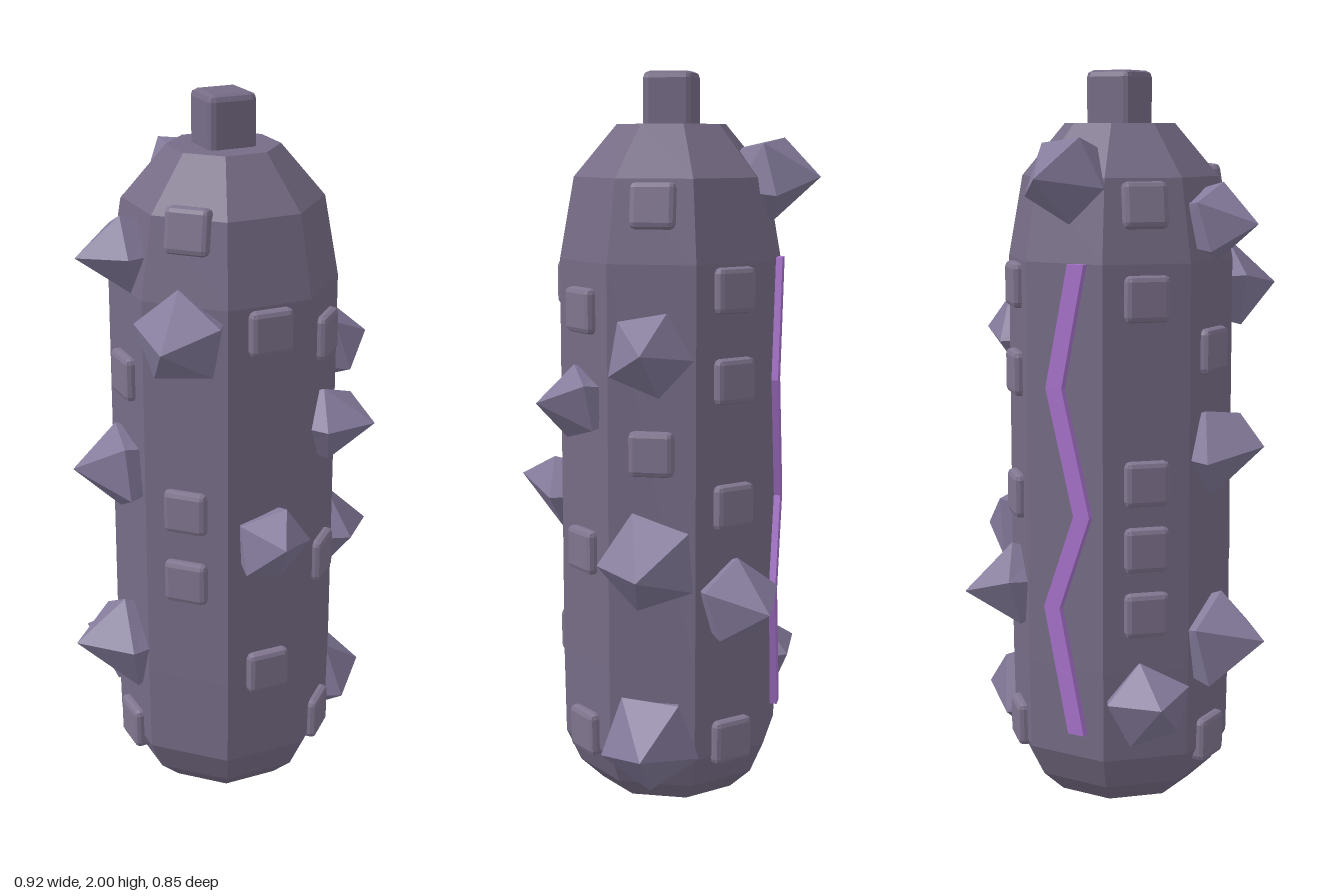
import * as THREE from 'three';
import { RoundedBoxGeometry } from 'three/addons/geometries/RoundedBoxGeometry.js';

const mat = (color) => new THREE.MeshStandardMaterial({ color, flatShading: true });
const stone = mat(0x766c86);
const plateMat = mat(0x80758f);
const spikeMat = mat(0x857b9c);
const glow = mat(0xa873cc);

// Body profile: distance of the flats from the axis, height
const PROFILE = [[0.185, 0], [0.245, 0.06], [0.283, 0.15], [0.287, 0.4], [0.287, 1.5], [0.25, 1.72], [0.14, 1.86]];

function flatAt(y) {
  for (let i = 1; i < PROFILE.length; i++) {
    const [r0, y0] = PROFILE[i - 1], [r1, y1] = PROFILE[i];
    if (y <= y1) {
      const t = (y - y0) / (y1 - y0);
      return { r: r0 + (r1 - r0) * t, tilt: Math.atan2(r1 - r0, y1 - y0) };
    }
  }
  return { r: 0.14, tilt: 0 };
}

// Five-sided stud: leaning tip, wide ring, narrower root inside the body
function spikeGeometry(r, leanX, leanY, phase) {
  const h = 0.62 * r + 0.085;
  const ring = [[0.75 * r, -0.06], [r, 0.035], [0, h]];
  const geo = new THREE.LatheGeometry(ring.map((p) => new THREE.Vector2(...p)), 5, phase);
  geo.rotateX(Math.PI / 2);
  const pos = geo.attributes.position;
  for (let i = 0; i < pos.count; i++) {
    const z = pos.getZ(i);
    if (z > h - 0.001) pos.setXY(i, leanX, leanY);
    else if (z > 0) {
      const a = Math.atan2(pos.getY(i), pos.getX(i));
      pos.setZ(i, z + 0.022 * Math.sin(2 * a + phase));
    }
  }
  return geo;
}

export function createModel() {
  const model = new THREE.Group();
  const add = (name, geo, material, parent = model) => {
    const mesh = new THREE.Mesh(geo, material);
    mesh.name = name;
    parent.add(mesh);
    return mesh;
  };

  const pillar = new THREE.Group();
  pillar.name = 'pillar';
  pillar.position.set(-0.003, 0, -0.01);
  model.add(pillar);

  // Eight-sided body with closed ends
  const k = 1 / Math.cos(Math.PI / 8);
  const points = [[0, 0], ...PROFILE, [0, 1.86]].map(([r, y]) => new THREE.Vector2(r * k, y));
  add('body', new THREE.LatheGeometry(points, 8, Math.PI / 8), stone, pillar);

  // Square knob on top
  add('topKnob', new RoundedBoxGeometry(0.138, 0.16, 0.138, 1, 0.018), stone, pillar).position.y = 1.92;

  // Puts a part on one of the eight flats, facing outwards
  const mount = (mesh, face, y, follow) => {
    const { r, tilt } = flatAt(y);
    const a = face * Math.PI / 4;
    mesh.position.set(Math.sin(a) * r, y, Math.cos(a) * r);
    mesh.rotation.set(follow ? tilt : 0, a, 0, 'YXZ');
  };

  // Small plates: heights on each flat, from the front round by +x
  const plates = [[1.43, 0.43], [1.37, 0.71, 0.19], [1.65, 1.0], [1.43, 1.19, 0.85, 0.19],
    [], [1.65, 1.41, 0.92, 0.74, 0.56], [1.26, 0.17], [1.69, 0.92, 0.71]];
  const plateGeo = new RoundedBoxGeometry(0.122, 0.122, 0.05, 1, 0.015);
  plates.forEach((heights, face) => heights.forEach((y) => {
    mount(add('plate', plateGeo, plateMat, pillar), face, y, true);
  }));

  // Spikes: flat, height, radius, lean of the tip sideways and up, turn
  const spikes = [
    [0, 0.83, 0.11, -0.02, 0.04, 0.3],
    [1, 1.12, 0.105, 0.0, 0.01, 0.9],
    [2, 1.27, 0.12, 0.0, 0.01, 0.2],
    [2, 0.71, 0.14, -0.01, -0.02, 1.0],
    [2, 0.21, 0.14, 0.0, -0.01, 0.0],
    [3, 0.59, 0.12, 0.01, -0.01, 0.6],
    [4, 1.72, 0.12, -0.01, 0.0, 0.1],
    [5, 0.31, 0.12, 0.0, 0.03, 0.8],
    [6, 1.6, 0.11, 0.0, 0.0, 0.4],
    [6, 0.99, 0.125, 0.0, 0.02, 1.1],
    [6, 0.45, 0.14, 0.0, 0.02, 0.5],
    [7, 1.42, 0.13, 0.0, 0.0, 0.7],
  ];
  for (const [face, y, r, leanX, leanY, turn] of spikes) {
    mount(add('spike', spikeGeometry(r, leanX, leanY, turn), spikeMat, pillar), face, y, false);
  }

  // Zigzag vein on the back
  const path = [[-0.05, 1.5], [0.02, 1.17], [-0.065, 0.83], [0.03, 0.57], [-0.045, 0.22]];
  const side = (d) => path.map(([x, y]) => new THREE.Vector2(x + d, y));
  const outline = new THREE.Shape([...side(-0.025), ...side(0.025).reverse()]);
  const vein = new THREE.ExtrudeGeometry(outline, { depth: 0.04, bevelEnabled: false });
  add('backVein', vein, glow).position.z = -0.315;

  return model;
}
